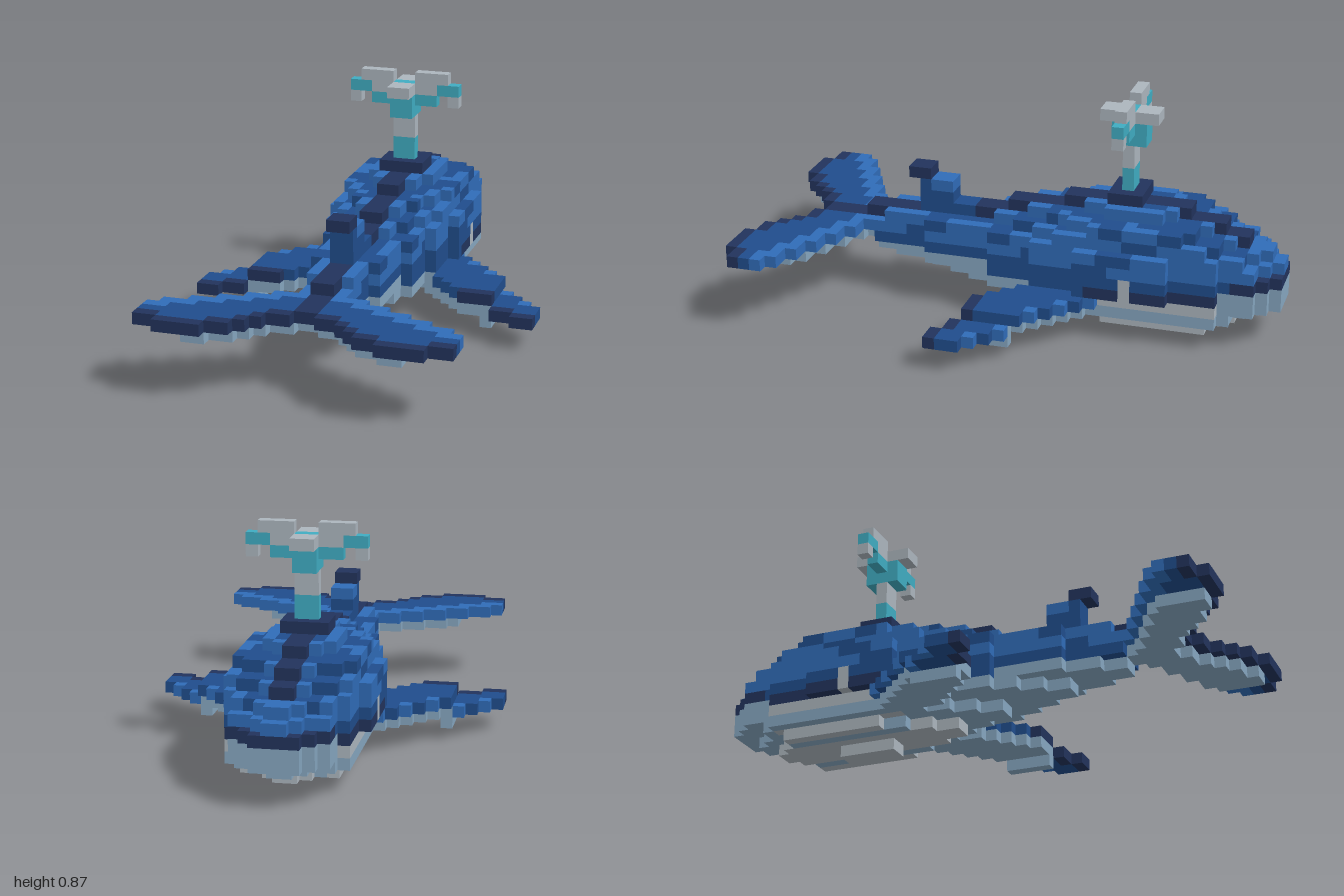
import * as THREE from 'three';
import { mergeGeometries } from 'three/addons/utils/BufferGeometryUtils.js';

const U = 2 / 46; // block size; i = across, j = up, k = from nose to tail

const COLORS = {
  navy: 0x22335c, blue: 0x204d8c, midBlue: 0x306cb8,
  paleBlue: 0x86a6c0, grey: 0xacb6be, teal: 0x40acc2,
};

// Blocks of the whole model: key -> { i, j, k, part, color }
function makeGrid() {
  const cells = new Map();
  const key = (i, j, k) => `${i},${j},${k}`;
  const put = (part, color, i, j, k) => {
    for (const x of [i, -1 - i]) cells.set(key(x, j, k), { i: x, j, k, part, color });
  };
  // Mirrored box of blocks, end indices exclusive
  const fill = (part, color, [i0, i1], [j0, j1], [k0, k1]) => {
    for (let i = i0; i < i1; i++)
      for (let j = j0; j < j1; j++)
        for (let k = k0; k < k1; k++) put(part, color, i, j, k);
  };
  return { cells, key, put, fill };
}

// Half width of the body seen from above
function planWidth(k) {
  const steps = [[0, 2], [1, 3], [4, 4], [8, 5], [16, 6], [20, 5], [24, 4], [30, 3], [36, 2], [46, 1]];
  return steps.find(([end]) => k <= end)[1];
}

// Body layers from the belly up: first k, last k, greatest half width
const LAYERS = [
  [10, 14, 1], [4, 20, 4], [2, 24, 5], [0, 30, 5], [0, 35, 6], [0, 37, 6],
  [0, 40, 6], [1, 36, 6], [3, 26, 5], [5, 23, 5], [8, 18, 3],
];

function bodyColor(i, j, k, width) {
  if (j <= 1) return i % 3 === 2 ? 'paleBlue' : 'grey';
  if (j <= 3) return k > 4 && k < 17 && (j === 3 || i % 2) ? 'grey' : 'paleBlue';
  if (j === 4) {
    if (k < 5 || k > 24) return 'paleBlue';
    return k < 16 ? 'navy' : 'blue';
  }
  if (j === 5) {
    if (k < 4) return 'navy';
    return k > 35 ? 'paleBlue' : 'blue';
  }
  if (i === 0 && k > 2) return 'navy';
  const ripple = Math.sin(k * 1.1 + j * 2.3) + Math.sin(k * 0.45 - i * 1.7);
  return k < 3 || (i >= width - 1 && ripple > -0.7) || ripple > 0.9 ? 'midBlue' : 'blue';
}

function addBody({ put, fill }) {
  LAYERS.forEach(([a, b, max], j) => {
    for (let k = a; k <= b; k++) {
      const nose = (j > 2 && j < 6 ? 2 : 1) + Math.floor((k - a) * 1.5);
      const rear = 1 + Math.floor((b - k) * 0.5);
      const width = Math.min(planWidth(k), max, nose, rear);
      for (let i = 0; i < width; i++) put('body', bodyColor(i, j, k, width), i, j, k);
    }
  });
  // Eyes
  fill('eyes', 'grey', [5, 6], [4, 6], [12, 13]);
  // Blowhole rim
  fill('blowhole', 'navy', [0, 2], [11, 12], [12, 15]);
  // Dorsal fin
  fill('dorsalFin', 'blue', [0, 1], [8, 9], [27, 32]);
  fill('dorsalFin', 'blue', [0, 1], [9, 11], [29, 32]);
  fill('dorsalFin', 'midBlue', [0, 1], [10, 11], [29, 31]);
  fill('dorsalFin', 'navy', [0, 1], [11, 12], [31, 33]);
}

function addFlippers({ put }) {
  const ends = [21, 22, 23, 24, 25, 25, 25, 26, 26, 27, 27]; // trailing edge for i = 4..14
  ends.forEach((end, n) => {
    const i = n + 4, start = i + 10, top = i < 11 ? 3 : 2;
    for (let k = start; k < end; k++) {
      const color = i > 7 && k === end - 1 ? 'navy' : k === start && i % 2 ? 'midBlue' : 'blue';
      put('flippers', color, i, top, k);
      if (i < 11 && k > start) put('flippers', 'paleBlue', i, 2, k);
      if (i === 10 && k > start) put('flippers', 'paleBlue', i, 1, k);
    }
  });
}

function addFlukes({ put }) {
  const ends = [41, 42, 42, 43, 44, 45, 45, 46, 46, 46, 46, 45, 45]; // trailing edge for i = 0..12
  ends.forEach((end, i) => {
    const start = 36 + Math.floor(i / 2);
    for (let k = start; k < end; k++) {
      const color = i === 0 || k === end - 1 ? 'navy' : k <= start + (i % 2) ? 'midBlue' : 'blue';
      put('tailFlukes', color, i, 6, k);
      if (i < 9 && k > start && k < end - 1) put('tailFlukes', 'paleBlue', i, 5, k);
    }
  });
}

function addSpout({ fill }) {
  const column = [13, 14];
  fill('waterSpout', 'teal', [0, 1], [12, 14], column);
  fill('waterSpout', 'grey', [0, 1], [14, 16], column);
  fill('waterSpout', 'teal', [0, 1], [16, 18], [12, 15]);
  // Short sprays fore and aft
  fill('waterSpout', 'grey', [0, 1], [18, 19], [11, 13]);
  fill('waterSpout', 'grey', [0, 1], [18, 19], [14, 16]);
  fill('waterSpout', 'teal', [0, 1], [18, 19], column);
  // Drooping side sprays
  fill('waterSpout', 'teal', [1, 3], [17, 18], column);
  fill('waterSpout', 'grey', [1, 3], [18, 19], column);
  fill('waterSpout', 'teal', [3, 5], [18, 19], column);
  fill('waterSpout', 'grey', [1, 4], [19, 20], column);
  fill('waterSpout', 'grey', [4, 5], [17, 18], column);
}

export function createModel() {
  const grid = makeGrid();
  addFlippers(grid);
  addBody(grid);
  addFlukes(grid);
  addSpout(grid);

  const materials = {};
  for (const [name, color] of Object.entries(COLORS)) {
    materials[name] = new THREE.MeshStandardMaterial({ color });
    materials[name].name = name;
  }

  // One square face for each of the six directions
  const front = new THREE.Vector3(0, 0, 1);
  const sides = [[1, 0, 0], [-1, 0, 0], [0, 1, 0], [0, -1, 0], [0, 0, 1], [0, 0, -1]].map((d) => {
    const dir = new THREE.Vector3(...d);
    const face = new THREE.PlaneGeometry(U, U);
    face.applyQuaternion(new THREE.Quaternion().setFromUnitVectors(front, dir));
    face.translate(d[0] * U / 2, d[1] * U / 2, d[2] * U / 2);
    return { d, face };
  });

  // Collect only the exposed faces, by part and colour
  const parts = {};
  for (const { i, j, k, part, color } of grid.cells.values()) {
    for (const { d, face } of sides) {
      if (grid.cells.has(grid.key(i + d[0], j + d[1], k + d[2]))) continue;
      const f = face.clone().translate((i + 0.5) * U, (j + 0.5) * U, -1 + (k + 0.5) * U);
      ((parts[part] ??= {})[color] ??= []).push(f);
    }
  }

  const model = new THREE.Group();
  model.name = 'whale';
  for (const [part, byColor] of Object.entries(parts)) {
    const group = new THREE.Group();
    group.name = part;
    for (const [color, faces] of Object.entries(byColor)) {
      const mesh = new THREE.Mesh(mergeGeometries(faces), materials[color]);
      mesh.name = `${part} ${color}`;
      group.add(mesh);
    }
    model.add(group);
  }
  return model;
}
